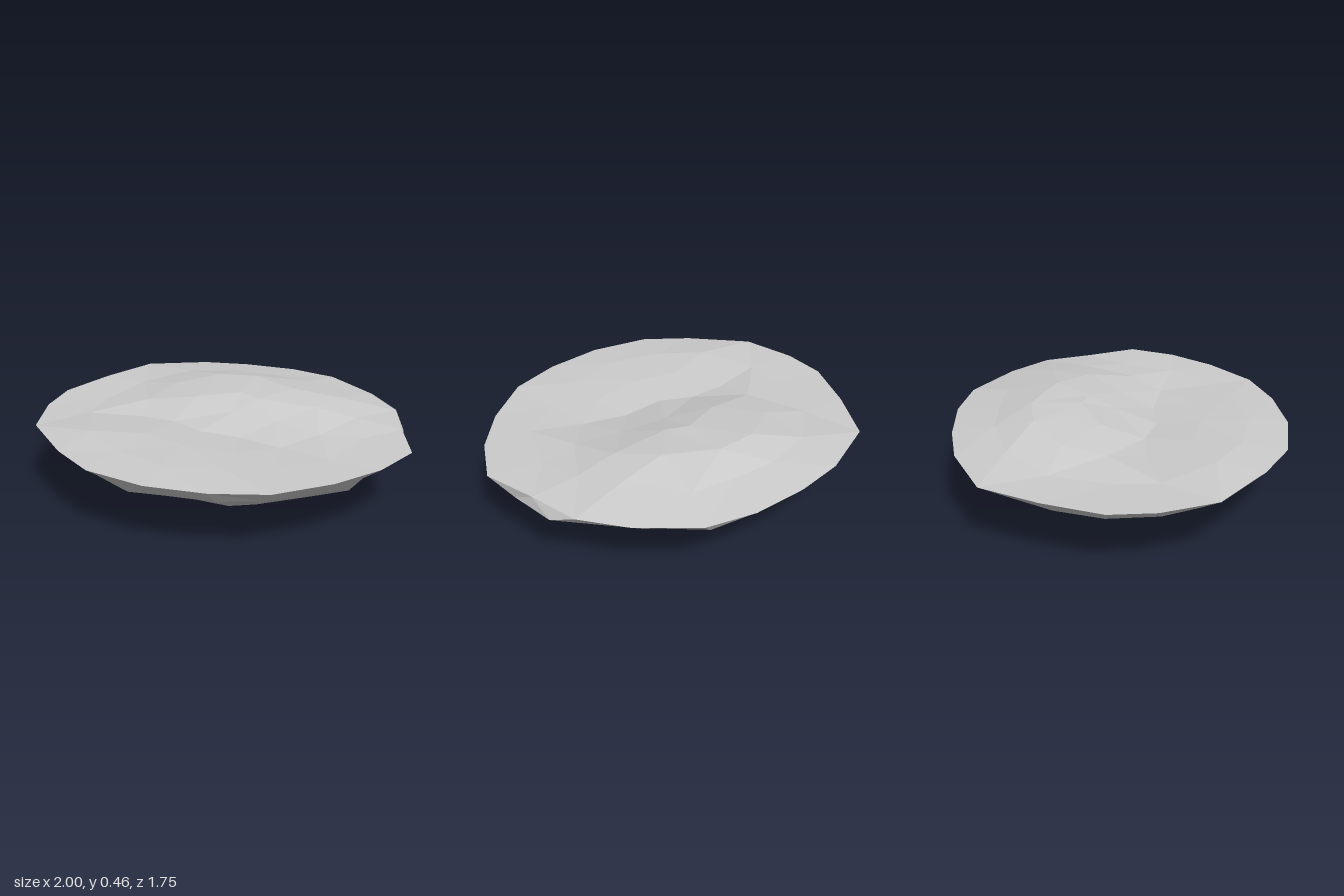
import * as THREE from 'three';

const RIM_Y = 0.375;
// Rim outline as x, z pairs
const RIM = [
  [1, 0.01], [0.92, 0.26], [0.77, 0.49], [0.55, 0.71], [0.29, 0.82],
  [-0.01, 0.875], [-0.33, 0.845], [-0.57, 0.72], [-0.86, 0.5], [-0.97, 0.23],
  [-1, 0], [-0.92, -0.3], [-0.8, -0.6], [-0.5, -0.775], [-0.25, -0.845],
  [0.04, -0.88], [0.3, -0.85], [0.59, -0.68], [0.78, -0.5], [0.88, -0.25],
];

function makeRandom(seed) {
  return () => {
    seed = (seed * 16807) % 2147483647;
    return seed / 2147483647 - 0.5;
  };
}

// Point on the rim outline at fraction t of its way round
function rimAt(t) {
  const f = (((t % 1) + 1) % 1) * RIM.length;
  const i = Math.floor(f) % RIM.length;
  const a = RIM[i], b = RIM[(i + 1) % RIM.length], k = f - Math.floor(f);
  return [a[0] + (b[0] - a[0]) * k, a[1] + (b[1] - a[1]) * k];
}

// Joins two rings that may have different numbers of points
function stitch(out, outer, inner, flip) {
  const add = (a, b, c) => out.push(...a, ...(flip ? c : b), ...(flip ? b : c));
  const n = outer.length, m = inner.length;
  let i = 0, j = 0;
  while (i < n || j < m) {
    if (j >= m || (i < n && (i + 0.5) / n <= (j + 0.5) / m)) {
      add(outer[i % n], inner[j % m], outer[(i + 1) % n]);
      i++;
    } else {
      add(inner[j % m], inner[(j + 1) % m], outer[i % n]);
      j++;
    }
  }
}

// Low mound at the back, faint ridge at the front, slight hollow between
function topHeight(x, z) {
  const bump = (cx, cz, sx, sz, h) =>
    h * Math.exp(-(((x - cx) / sx) ** 4) - ((z - cz) / sz) ** 4);
  return RIM_Y + bump(0.05, -0.33, 0.55, 0.32, 0.08)
    + bump(-0.35, 0.48, 0.4, 0.22, 0.022) + bump(0.1, 0.2, 0.4, 0.22, -0.01);
}

function surface(name, rings, flip, material) {
  const out = [];
  for (let r = 0; r + 1 < rings.length; r++) stitch(out, rings[r], rings[r + 1], flip);
  const geo = new THREE.BufferGeometry();
  geo.setAttribute('position', new THREE.Float32BufferAttribute(out, 3));
  geo.computeVertexNormals();
  const mesh = new THREE.Mesh(geo, material);
  mesh.name = name;
  return mesh;
}

export function createModel() {
  const group = new THREE.Group();
  group.name = 'rockIsland';
  const material = new THREE.MeshStandardMaterial({ color: 0xcccccc, flatShading: true });
  const rim = RIM.map(([x, z]) => [x, RIM_Y, z]);

  // Gently uneven ground
  const rnd = makeRandom(4711);
  const topRings = [rim];
  for (const [s, n] of [[0.74, 16], [0.5, 12], [0.26, 7]]) {
    topRings.push(Array.from({ length: n }, (_, i) => {
      const [x, z] = rimAt((i + rnd() * 0.4) / n);
      const k = s + rnd() * 0.08;
      return [x * k, topHeight(x * k, z * k) + rnd() * 0.012, z * k];
    }));
  }
  topRings.push([[0.03, topHeight(0.03, -0.03), -0.03]]);
  group.add(surface('ground', topRings, false, material));

  // Rough rock underside: scale, height, points, unevenness
  const under = [
    [0.925, 0.31, 20, 0.03], [0.78, 0.225, 20, 0.05], [0.615, 0.15, 16, 0.05],
    [0.42, 0.075, 12, 0.04], [0.19, 0.012, 7, 0.01],
  ];
  const rockRings = [rim];
  under.forEach(([s, y, n, rough], r) => {
    const cx = 0.06 * (1 - s), cz = -0.04 * (1 - s);
    rockRings.push(Array.from({ length: n }, (_, i) => {
      const [x, z] = rimAt((i + rnd() * 0.4) / n);
      const k = s + rnd() * rough * 1.2;
      return [x * k + cx, y + rnd() * rough * 0.7, z * k + cz];
    }));
  });
  // Small ledge standing out below the rim, and a dent on the front
  rockRings[1][19] = [0.925, 0.32, -0.15];
  rockRings[1][18] = [0.855, 0.32, -0.385];
  rockRings[1][7] = [-0.48, 0.33, 0.62];
  rockRings.push([[0.06, 0, -0.03]]);
  group.add(surface('rockUnderside', rockRings, true, material));
  return group;
}
